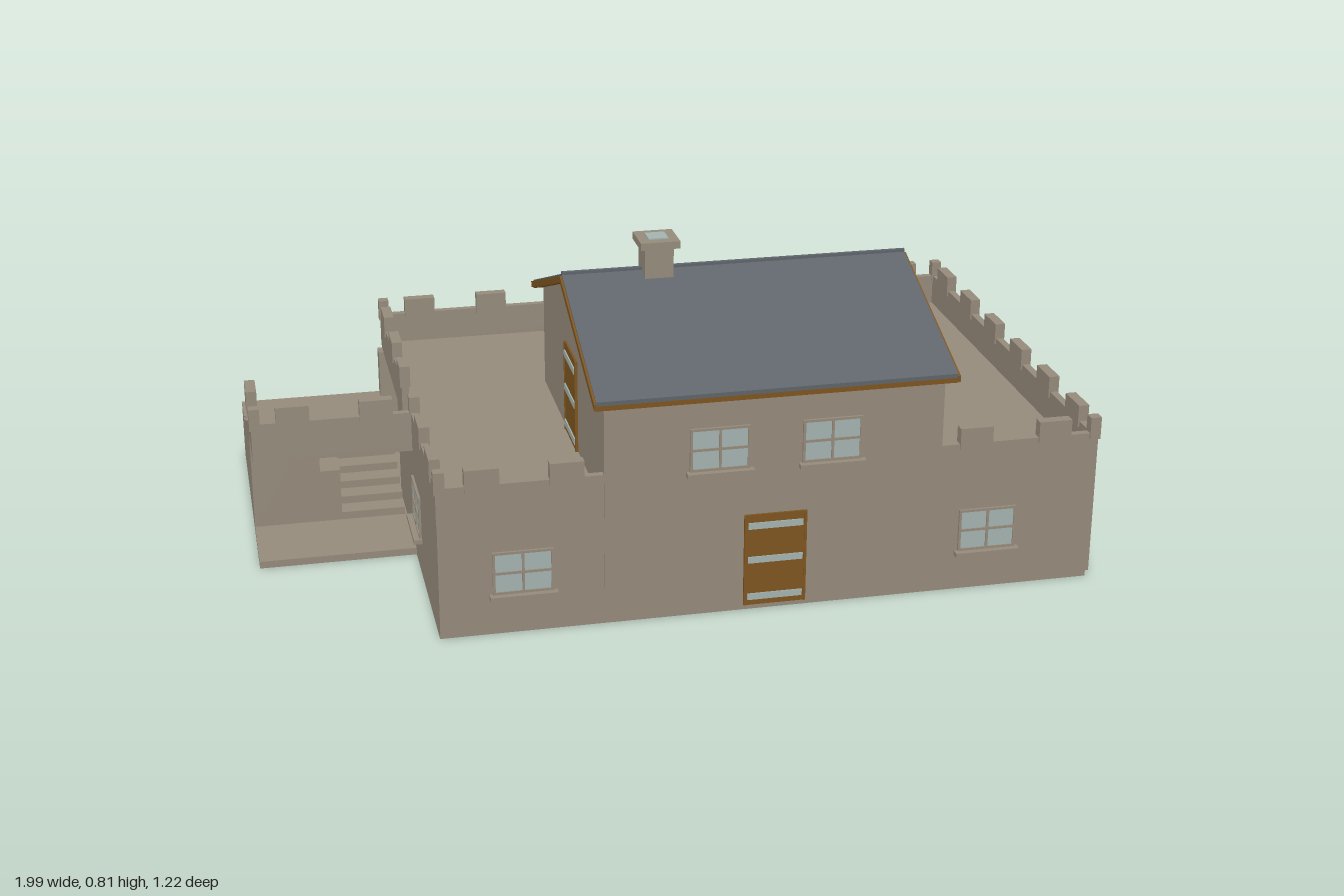
import * as THREE from 'three';

const material = (name, color) => {
  const m = new THREE.MeshStandardMaterial({ color });
  m.name = name;
  return m;
};

export function createModel() {
  const root = new THREE.Group();
  root.name = 'fortifiedHouse';
  const stone = material('stone', 0x958b7b);
  const slate = material('slate', 0x5f656b);
  const wood = material('brown wood', 0x7d5520);
  const glass = material('pale glass', 0xa3b3af);

  const add = (name, geometry, mat, parent = root) => {
    const m = new THREE.Mesh(geometry, mat);
    m.name = name;
    parent.add(m);
    return m;
  };
  // Box given by its lower and upper limits on each axis
  const box = (name, x0, x1, y0, y1, z0, z1, mat = stone, parent = root) => {
    const m = add(name, new THREE.BoxGeometry(x1 - x0, y1 - y0, z1 - z0), mat, parent);
    m.position.set((x0 + x1) / 2, (y0 + y1) / 2, (z0 + z1) / 2);
    return m;
  };
  // Profile of [z, y] points drawn out along x
  const alongX = (name, points, x0, x1, mat) => {
    const shape = new THREE.Shape(points.map(p => new THREE.Vector2(p[0], p[1])));
    const m = add(name, new THREE.ExtrudeGeometry(shape, { depth: x1 - x0, bevelEnabled: false }), mat);
    m.rotation.y = -Math.PI / 2;
    m.position.x = x1;
    return m;
  };

  // Ground slab, ground floor and terraces
  box('groundSlab', -0.605, 0.97, 0, 0.018, -0.6, 0.575);
  box('sideGroundSlab', -0.99, -0.605, 0, 0.018, -0.6, 0.12);
  box('groundFloor', -0.605, 0.975, 0.018, 0.3, -0.22, 0.582);
  box('backTerrace', -0.605, 0.975, 0.28, 0.3, -0.6, -0.22);
  box('sideTerrace', -0.99, -0.605, 0.28, 0.3, -0.085, 0.12);

  // Upper house with gables
  const ridgeZ = 0.182;
  alongX('upperHouse', [[-0.22, 0.3], [0.585, 0.3], [0.585, 0.56], [ridgeZ, 0.71], [-0.22, 0.56]],
    -0.22, 0.585, stone);

  // Roof: slate over wooden boards, with barge boards at the ends
  const chevron = (half, eave, ridge, t) => [
    [ridgeZ - half, eave - t], [ridgeZ, ridge - t], [ridgeZ + half, eave - t],
    [ridgeZ + half, eave], [ridgeZ, ridge], [ridgeZ - half, eave]];
  alongX('roofSlates', chevron(0.427, 0.57, 0.73, 0.01), -0.242, 0.607, slate);
  alongX('roofBoards', chevron(0.427, 0.56, 0.72, 0.012), -0.242, 0.607, wood);
  for (const x of [-0.247, 0.607])
    alongX('bargeBoard', chevron(0.43, 0.566, 0.725, 0.016), x, x + 0.005, wood);
  box('ridgeCap', -0.242, 0.607, 0.724, 0.735, ridgeZ - 0.005, ridgeZ + 0.005, slate);

  // Chimney
  box('chimneyStack', -0.048, 0.022, 0.68, 0.79, 0.147, 0.22);
  box('chimneyCap', -0.06, 0.036, 0.79, 0.808, 0.134, 0.231);
  box('chimneyFlue', -0.036, 0.012, 0.808, 0.811, 0.158, 0.207, glass);

  // Parapet runs along x or z, with thicker merlons set over the wall
  const T = 0.009;
  const parapet = (axis, at, from, to, merlons, width = 0.08) => {
    const put = (name, a, b, y0, y1, t) => axis === 'x'
      ? box(name, a, b, y0, y1, at - t, at + t)
      : box(name, at - t, at + t, y0, y1, a, b);
    put('parapetWall', from, to, 0.29, 0.38, T);
    for (const c of merlons)
      put('merlon', Math.max(from, c - width / 2), Math.min(to, c + width / 2), 0.365, 0.42, T + 0.004);
  };
  const row = (start, step, n) => Array.from({ length: n }, (_, i) => start + step * i);
  parapet('x', 0.573, -0.605, -0.22, row(-0.5, 0.195, 2));
  parapet('x', 0.573, 0.585, 0.975, row(0.67, 0.195, 2));
  parapet('x', -0.597, -0.605, 0.975, row(-0.5, 0.195, 8));
  parapet('z', 0.966, -0.605, 0.582, row(-0.495, 0.192, 6), 0.085);
  parapet('z', -0.597, 0.12, 0.582, row(0.273, 0.192, 2), 0.085);
  parapet('z', -0.597, -0.605, -0.085, row(-0.495, 0.192, 3), 0.085);
  parapet('x', 0.111, -0.99, -0.605, row(-0.89, 0.2, 2));
  parapet('z', -0.981, -0.085, 0.12, [-0.035]);
  for (const [x, z] of [[0.966, 0.573], [0.966, -0.597], [-0.597, 0.573], [-0.597, -0.597],
    [-0.981, 0.111], [-0.597, 0.111]])
    box('cornerMerlon', x - 0.013, x + 0.013, 0.365, 0.42, z - 0.013, z + 0.013);

  // Arcade of posts and curved ribs along the back
  const bay = 0.388;
  for (let i = 0; i < 5; i++) {
    const x = -0.598 + bay * i;
    box('arcadePost', x - 0.02, x + 0.02, 0.018, 0.282, -0.6, -0.56);
    if (i === 4) break;
    const arch = new THREE.Shape();
    const cy = 0.1;
    arch.absellipse(0, cy, 0.19, 0.182, 0, Math.PI, false, 0);
    arch.absellipse(0, cy, 0.166, 0.158, Math.PI, 0, true, 0);
    arch.closePath();
    const rib = add('arcadeArch', new THREE.ExtrudeGeometry(arch,
      { depth: 0.03, bevelEnabled: false, curveSegments: 14 }), stone);
    rib.position.set(x + bay / 2, 0, -0.595);
  }

  // Two flights of stairs around a low wall, meeting at a landing
  box('stairLanding', -0.99, -0.605, 0.018, 0.155, -0.6, -0.449);
  box('stairMiddleWall', -0.82, -0.77, 0.018, 0.155, -0.449, -0.085);
  for (let i = 1; i <= 7; i++) {
    const za = -0.085 - 0.052 * i, zb = -0.449 + 0.052 * (i - 1);
    box('lowerStep', -0.77, -0.61, 0.018, 0.018 + 0.0196 * i, za, za + 0.052);
    box('upperStep', -0.99, -0.82, 0.018, 0.155 + 0.0207 * i, zb, zb + 0.052);
  }

  // Windows and doors, made facing +z and turned to their wall
  const place = (name, x, y, z, turn) => {
    const g = new THREE.Group();
    g.name = name;
    g.position.set(x, y, z);
    g.rotation.y = turn;
    root.add(g);
    return g;
  };
  const windowAt = (x, y, z, turn = 0) => {
    const g = place('window', x, y, z, turn);
    box('windowPane', -0.068, 0.068, 0, 0.1, -0.002, 0.003, glass, g);
    for (const c of [-0.068, 0, 0.068])
      box('windowUpright', c - 0.003, c + 0.003, 0, 0.1, 0, 0.006, stone, g);
    for (const c of [0, 0.05, 0.1])
      box('windowRail', -0.071, 0.071, c - 0.003, c + 0.003, 0, 0.006, stone, g);
    box('windowSill', -0.079, 0.079, -0.014, -0.003, -0.002, 0.02, stone, g);
  };
  const doorAt = (x, y, z, turn = 0) => {
    const g = place('door', x, y, z, turn);
    box('doorPanel', -0.07, 0.07, 0, 0.232, -0.003, 0.005, wood, g);
    for (const c of [0.022, 0.117, 0.204])
      box('doorStrap', -0.066, 0.066, c - 0.008, c + 0.008, 0, 0.008, glass, g);
    for (const s of [-1, 1])
      box('doorJamb', s * 0.072 - 0.003, s * 0.072 + 0.003, 0, 0.232, -0.002, 0.007, wood, g);
  };
  const quarter = Math.PI / 2;
  for (const x of [-0.41, 0.707]) windowAt(x, 0.108, 0.582);
  for (const x of [0.05, 0.317]) windowAt(x, 0.374, 0.585);
  windowAt(0.975, 0.108, 0.182, quarter);
  windowAt(-0.605, 0.108, 0.182, -quarter);
  for (const x of [-0.41, 0.182]) windowAt(x, 0.108, -0.22, Math.PI);
  doorAt(0.185, 0.018, 0.585);
  doorAt(0.182, 0.3, -0.22, Math.PI);
  doorAt(-0.22, 0.3, 0.182, -quarter);
  // Front wall strip below the upper house
  box('frontWallFace', -0.22, 0.585, 0.018, 0.3, 0.57, 0.585);

  return root;
}
